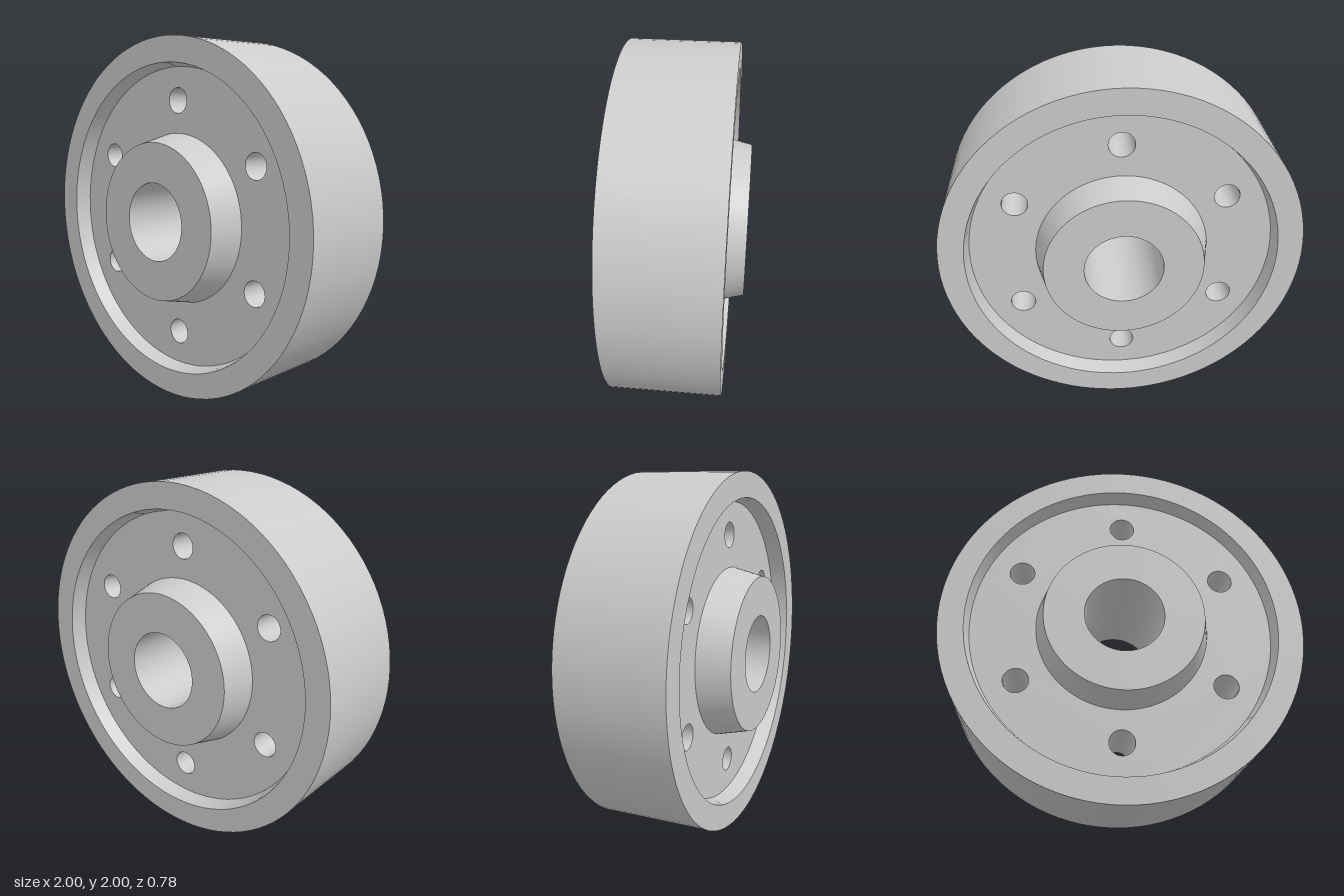
import * as THREE from 'three';
import { mergeGeometries } from 'three/addons/utils/BufferGeometryUtils.js';

const SEGMENTS = 96;
const WEB_Z = 0.21;      // half thickness of the web
const RIM_Z = 0.3;       // half width of the rim
const HUB_Z = 0.39;      // half length of the hub
const RIM_INNER = 0.84, HUB_OUTER = 0.478, BORE = 0.216;
const HOLE_CIRCLE = 0.658, HOLE_R = 0.07;

// Turns an [r, z] profile about the z axis, with a crisp edge at every corner.
function turned(profile) {
  const bands = [];
  for (let i = 0; i < profile.length - 1; i++) {
    const pair = [profile[i], profile[i + 1]].map(([r, z]) => new THREE.Vector2(r, z));
    bands.push(new THREE.LatheGeometry(pair, SEGMENTS));
  }
  return mergeGeometries(bands).rotateX(Math.PI / 2);
}

function circle(Type, x, y, r) {
  const path = new Type();
  path.absarc(x, y, r, 0, Math.PI * 2, false);
  return path;
}

export function createModel() {
  const group = new THREE.Group();
  const material = new THREE.MeshStandardMaterial({ color: 0xcccccc });
  const add = (name, geometry) => {
    const mesh = new THREE.Mesh(geometry, material);
    mesh.name = name;
    mesh.position.y = 1;
    group.add(mesh);
    return mesh;
  };

  // Outer rim with slightly flared inner walls
  add('rim', turned([
    [RIM_INNER, -WEB_Z], [0.86, -RIM_Z], [1, -RIM_Z],
    [1, RIM_Z], [0.86, RIM_Z], [RIM_INNER, WEB_Z],
  ]));

  // Tapered hub with its through bore
  add('hub', turned([
    [HUB_OUTER, WEB_Z], [0.435, HUB_Z], [BORE, HUB_Z],
    [BORE, -HUB_Z], [0.435, -HUB_Z], [HUB_OUTER, -WEB_Z],
  ]));

  // Web outline with six holes, and the wall of each hole
  const web = circle(THREE.Shape, 0, 0, RIM_INNER);
  web.holes.push(circle(THREE.Path, 0, 0, HUB_OUTER));
  const wall = turned([[HOLE_R, WEB_Z], [HOLE_R, -WEB_Z]]);
  for (let i = 0; i < 6; i++) {
    const angle = Math.PI / 2 + (i * Math.PI) / 3;
    const x = HOLE_CIRCLE * Math.cos(angle), y = HOLE_CIRCLE * Math.sin(angle);
    web.holes.push(circle(THREE.Path, x, y, HOLE_R));
    add('holeWall', wall).position.set(x, 1 + y, 0);
  }

  // Front and back faces of the web
  const face = new THREE.ShapeGeometry(web, SEGMENTS / 2);
  add('webFront', face.clone().translate(0, 0, WEB_Z));
  add('webBack', face.clone().rotateY(Math.PI).translate(0, 0, -WEB_Z));

  return group;
}
